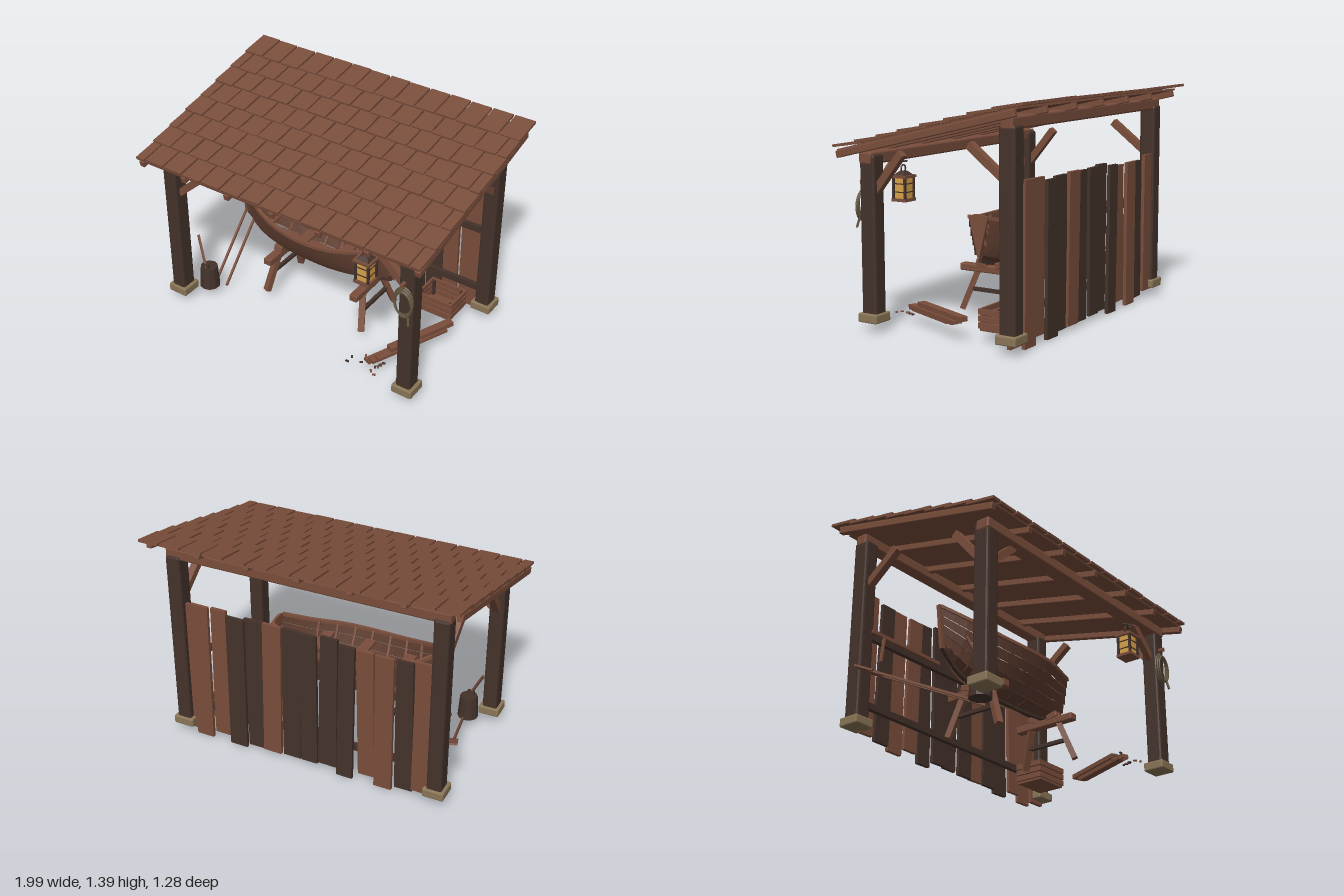
import * as THREE from 'three';
import { RoundedBoxGeometry } from 'three/addons/geometries/RoundedBoxGeometry.js';

const material = (name, color, extra = {}) => {
  const m = new THREE.MeshStandardMaterial({ color, flatShading: true, ...extra });
  m.name = name;
  return m;
};
const V = (x, y, z) => new THREE.Vector3(x, y, z);

export function createModel() {
  const root = new THREE.Group();
  root.name = 'boatShed';
  const brown = material('brown wood', 0x7a4e3c);
  const dark = material('dark wood', 0x44322b);
  const hullWood = material('hull wood', 0x5f3e30, { side: THREE.DoubleSide });
  const stone = material('stone', 0x8a7657);
  const ropeMat = material('rope', 0x62563f);
  const glow = material('lantern glow', 0xd9a24a);

  let seed = 7;
  const rnd = () => (seed = (seed * 16807) % 2147483647) / 2147483647;
  const group = (name, parent = root) => {
    const g = new THREE.Group();
    g.name = name;
    parent.add(g);
    return g;
  };
  const add = (parent, name, geo, mat, x = 0, y = 0, z = 0) => {
    const m = new THREE.Mesh(geo, mat);
    m.name = name;
    m.position.set(x, y, z);
    parent.add(m);
    return m;
  };
  const box = (p, name, mat, w, h, d, x, y, z) => add(p, name, new THREE.BoxGeometry(w, h, d), mat, x, y, z);
  const block = (p, name, mat, w, h, d, x, y, z) =>
    add(p, name, new RoundedBoxGeometry(w, h, d, 1, Math.min(w, h, d) * 0.14), mat, x, y, z);
  // straight timber between two points
  const bar = (p, name, mat, a, b, w, h) => {
    const m = add(p, name, new THREE.BoxGeometry(w, h, a.distanceTo(b)), mat);
    m.position.copy(a).add(b).multiplyScalar(0.5);
    m.lookAt(b);
    return m;
  };

  // posts, stone feet, beams and braces
  const frame = group('frame');
  for (const s of [-1, 1]) {
    for (const [z, top] of [[0.47, 1.04], [-0.475, 1.25]]) {
      block(frame, 'post', dark, 0.095, top - 0.06, 0.105, s * 0.85, (top + 0.06) / 2, z);
      block(frame, 'postFoot', stone, 0.135, 0.055, 0.135, s * 0.85, 0.083, z);
    }
    bar(frame, 'frontBrace', brown, V(s * 0.81, 0.82, 0.47), V(s * 0.62, 0.99, 0.47), 0.04, 0.045);
    bar(frame, 'sideBrace', brown, V(s * 0.85, 0.83, 0.435), V(s * 0.85, 1.055, 0.25), 0.045, 0.045);
    bar(frame, 'sideBrace', brown, V(s * 0.85, 0.96, -0.43), V(s * 0.85, 1.13, -0.21), 0.045, 0.045);
  }
  block(frame, 'frontBeam', brown, 1.8, 0.07, 0.09, 0, 1.018, 0.48);
  block(frame, 'backBeam', brown, 1.8, 0.07, 0.08, 0, 1.262, -0.475);
  for (const y of [0.642, 0.205]) box(frame, 'wallRail', dark, 1.64, 0.04, 0.03, 0, y, -0.455);

  // sloping roof: rafters, deck and overlapping shingles
  const roof = group('roof');
  roof.position.y = 1.188;
  roof.rotation.x = 0.234;
  for (let i = -3; i <= 3; i++) block(roof, 'rafter', brown, 0.036, 0.042, 1.23, i * 0.323, 0, 0.023);
  box(roof, 'deck', brown, 1.95, 0.012, 1.24, 0, 0.023, 0.01);
  const pitch = 2 / 14;
  for (let r = 0; r < 8; r++) {
    const odd = r % 2 === 0;
    for (let i = 0; i < (odd ? 15 : 14); i++) {
      const x0 = Math.max(-1, -1 + (i - (odd ? 0.5 : 0)) * pitch);
      const x1 = Math.min(1, -1 + (i + (odd ? 0.5 : 1)) * pitch);
      const m = box(roof, 'shingle', brown, x1 - x0 - 0.012, 0.016, 0.2,
        (x0 + x1) / 2, 0.041 + rnd() * 0.004, 0.54 - r * 0.158 + (rnd() - 0.5) * 0.008);
      m.rotation.x = -0.07;
    }
  }

  // uneven back wall planks
  const wall = group('backWall');
  [...'01001111011000'].forEach((c, i) => {
    const bottom = i === 13 ? 0.03 : i === 0 ? 0.05 : rnd() * 0.045;
    const top = 0.905 + rnd() * 0.045;
    const geo = new THREE.BoxGeometry(0.114, top - bottom, 0.022);
    const p = geo.attributes.position;
    const kTop = 0.85 + rnd() * 0.25, kBottom = 0.85 + rnd() * 0.25;
    for (let k = 0; k < p.count; k++) p.setX(k, p.getX(k) * (p.getY(k) > 0 ? kTop : kBottom));
    const m = add(wall, 'wallPlank', geo, c === '1' ? dark : brown,
      -0.76 + i * 0.122, (top + bottom) / 2, i % 2 ? -0.483 : -0.5);
    m.rotation.z = (rnd() - 0.5) * 0.04;
  });

  // tool bar on the wall with a hanging tool
  const rack = group('toolRack');
  box(rack, 'rackBar', brown, 0.59, 0.022, 0.02, -0.525, 0.66, -0.42);
  bar(rack, 'hangingTool', brown, V(-0.72, 0.66, -0.415), V(-0.74, 0.49, -0.415), 0.018, 0.012);

  // lapstrake rowing boat lofted between keel and sheer curves
  const boat = group('boat');
  const sheer = new THREE.CatmullRomCurve3([
    V(-0.7, 0.735, 0.008), V(-0.52, 0.66, 0.125), V(-0.33, 0.612, 0.195), V(-0.12, 0.596, 0.225),
    V(0.08, 0.598, 0.215), V(0.27, 0.615, 0.15), V(0.45, 0.655, 0.068)]);
  const keel = new THREE.CatmullRomCurve3([
    V(-0.67, 0.49, 0), V(-0.54, 0.39, 0), V(-0.34, 0.343, 0), V(-0.12, 0.333, 0),
    V(0.08, 0.334, 0), V(0.27, 0.35, 0), V(0.44, 0.395, 0)]);
  const fz = [0, 0.4, 0.6, 0.75, 0.88, 1], fy = [0, 0.14, 0.36, 0.57, 0.78, 1];
  const hullPoint = (t, k, s, out = 0) => {
    const a = keel.getPoint(t), b = sheer.getPoint(t);
    return V(a.x + (b.x - a.x) * fy[k], a.y + (b.y - a.y) * fy[k] - out * 0.5, s * (b.z * fz[k] + out));
  };
  const N = 16;
  for (const s of [-1, 1]) {
    for (let k = 0; k < 5; k++) {
      const pos = [], idx = [];
      for (let i = 0; i <= N; i++) {
        const low = hullPoint(i / N, k, s, k ? 0.01 : 0), high = hullPoint(i / N, k + 1, s);
        pos.push(...low, ...high);
        const a = i * 2;
        if (i < N) idx.push(...(s > 0 ? [a, a + 2, a + 1, a + 1, a + 2, a + 3] : [a, a + 1, a + 2, a + 1, a + 3, a + 2]));
      }
      const geo = new THREE.BufferGeometry();
      geo.setAttribute('position', new THREE.Float32BufferAttribute(pos, 3));
      geo.setIndex(idx);
      geo.computeVertexNormals();
      add(boat, 'hullStrake', geo, hullWood);
    }
    for (let i = 0; i < N; i++)
      bar(boat, 'gunwale', brown, hullPoint(i / N, 5, s), hullPoint((i + 1) / N, 5, s), 0.022, 0.02);
    // inner ribs
    for (let i = 2; i < 9; i++)
      for (let k = 0; k < 5; k++)
        bar(boat, 'rib', brown, hullPoint(i / 10, k, s, -0.006), hullPoint(i / 10, k + 1, s, -0.006), 0.014, 0.01);
  }
  for (let i = 0; i < N; i++) bar(boat, 'keel', dark, keel.getPoint(i / N), keel.getPoint((i + 1) / N), 0.022, 0.022);
  bar(boat, 'stem', brown, V(-0.668, 0.48, 0), V(-0.7, 0.745, 0), 0.024, 0.028);
  const transomShape = new THREE.Shape([[0, 0.39], [0.068, 0.66], [0.03, 0.672], [-0.03, 0.672], [-0.068, 0.66]]
    .map(([x, y]) => new THREE.Vector2(x, y)));
  const transom = add(boat, 'transom', new THREE.ExtrudeGeometry(transomShape, { depth: 0.016, bevelEnabled: false }), brown, 0.442);
  transom.rotation.y = Math.PI / 2;
  for (const [x, w] of [[-0.42, 0.26], [-0.12, 0.37], [0.16, 0.31]])
    box(boat, 'thwart', brown, 0.07, 0.014, w, x, 0.545, 0);
  box(boat, 'floorBoard', brown, 0.6, 0.01, 0.13, -0.1, 0.385, 0);

  // trestles under the boat
  for (const [x, lean] of [[-0.355, -0.03], [0.3, 0.045]]) {
    const t = group('trestle');
    block(t, 'trestleTop', brown, 0.055, 0.045, 0.425, x, 0.318, 0.007);
    box(t, 'crossbar', dark, 0.022, 0.022, 0.27, x + lean * 0.5, 0.19, 0);
    for (const s of [-1, 1]) {
      bar(t, 'leg', brown, V(x, 0.305, s * 0.105), V(x + lean, 0.065, s * 0.19), 0.04, 0.035);
      block(t, 'chock', brown, 0.06, 0.04, 0.075, x, 0.352, s * 0.068).rotation.x = -s * 0.25;
    }
  }

  // chopping stump with axe
  const stump = group('choppingStump');
  add(stump, 'stump', new THREE.CylinderGeometry(0.056, 0.066, 0.15, 10), dark, -0.735, 0.135, 0.345);
  bar(stump, 'axeHandle', brown, V(-0.735, 0.21, 0.375), V(-0.83, 0.4, 0.32), 0.014, 0.014);
  box(stump, 'axeHead', dark, 0.045, 0.03, 0.016, -0.74, 0.222, 0.37);

  // two oars leaning towards the back
  for (const dx of [0, 0.085]) {
    const oar = group('oar');
    bar(oar, 'oarShaft', brown, V(-0.72 + dx, 0.065, 0.3), V(-0.89 + dx, 0.36, -0.34), 0.014, 0.014);
    bar(oar, 'oarBlade', brown, V(-0.885 + dx, 0.352, -0.32), V(-0.92 + dx, 0.4, -0.43), 0.05, 0.012);
  }

  // slatted crate
  const crate = group('crate');
  box(crate, 'crateFloor', brown, 0.23, 0.014, 0.18, 0.635, 0.075, -0.295);
  for (const y of [0.1, 0.14, 0.18]) {
    for (const s of [-1, 1]) {
      box(crate, 'crateSlat', brown, 0.25, 0.033, 0.014, 0.635, y, -0.295 + s * 0.09);
      box(crate, 'crateSlat', brown, 0.014, 0.033, 0.19, 0.635 + s * 0.118, y, -0.295);
    }
  }
  for (const sx of [-1, 1]) for (const sz of [-1, 1])
    box(crate, 'cratePost', dark, 0.018, 0.12, 0.018, 0.635 + sx * 0.1, 0.13, -0.295 + sz * 0.073);

  // stepped pile of boards and wood chips
  const pile = group('boardPile');
  [[0.41, 0.05, 0.07], [0.41, -0.03, 0.088], [0.39, -0.08, 0.108], [0.3, -0.13, 0.135]].forEach(([z0, z1, y], i) => {
    const x = 0.53 + i * 0.03;
    bar(pile, 'board', brown, V(x, y, z0), V(x + (z0 - z1) * 0.42, y, z1), 0.05, i === 3 ? 0.028 : 0.018);
  });
  for (let i = 0; i < 12; i++)
    box(pile, 'woodChip', i % 2 ? dark : brown, 0.022, 0.007, 0.012, 0.4 + rnd() * 0.24, 0.062, 0.36 + rnd() * 0.17).rotation.y = rnd() * 3;

  // hanging lantern
  const lantern = group('lantern');
  lantern.position.set(0.552, 0, 0.47);
  box(lantern, 'lanternBase', brown, 0.105, 0.018, 0.105, 0, 0.738, 0);
  box(lantern, 'lanternLight', glow, 0.078, 0.125, 0.078, 0, 0.808, 0);
  for (const sx of [-1, 1]) for (const sz of [-1, 1])
    box(lantern, 'lanternPost', dark, 0.014, 0.13, 0.014, sx * 0.042, 0.81, sz * 0.042);
  for (const y of [0.785, 0.835]) box(lantern, 'lanternBar', dark, 0.086, 0.006, 0.086, 0, y, 0);
  box(lantern, 'lanternTop', brown, 0.11, 0.016, 0.11, 0, 0.878, 0);
  add(lantern, 'lanternCap', new THREE.CylinderGeometry(0.025, 0.06, 0.025, 4, 1, false, Math.PI / 4), dark, 0, 0.897, 0);
  add(lantern, 'lanternRing', new THREE.TorusGeometry(0.022, 0.005, 5, 10), dark, 0, 0.925, 0);
  bar(lantern, 'lanternHook', dark, V(0, 0.94, 0), V(0.012, 0.995, 0), 0.009, 0.009);

  // coiled rope on a peg
  const rope = group('ropeCoil');
  box(rope, 'peg', brown, 0.02, 0.02, 0.05, 0.84, 0.87, 0.535);
  for (let i = 0; i < 3; i++) {
    const m = add(rope, 'ropeLoop', new THREE.TorusGeometry(0.06 - i * 0.004, 0.006, 5, 20), ropeMat,
      0.838 + i * 0.005, 0.745 - i * 0.004, 0.53 + i * 0.009);
    m.scale.y = 1.6;
    m.rotation.z = (i - 1) * 0.1;
  }
  bar(rope, 'ropeTail', ropeMat, V(0.875, 0.68, 0.54), V(0.89, 0.61, 0.555), 0.012, 0.012);

  return root;
}
